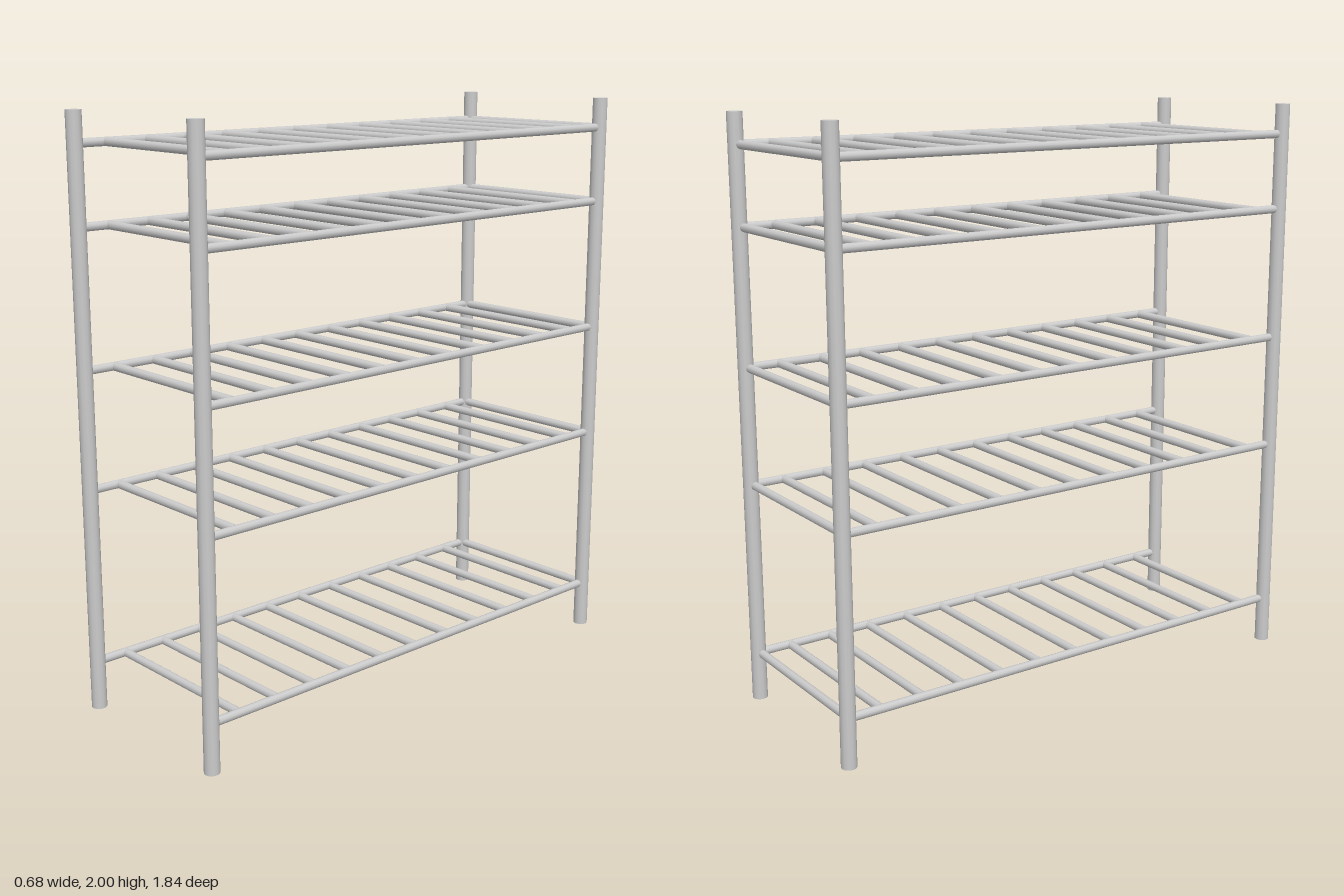
import * as THREE from 'three';

const POST_X = 0.316, POST_Z = 0.893, POST_R = 0.026, BAR_R = 0.0145;
const SHELF_HEIGHTS = [0.165, 0.768, 1.17, 1.633, 1.896];

export function createModel() {
  const rack = new THREE.Group();
  rack.name = 'shelfRack';
  const material = new THREE.MeshStandardMaterial({ color: 0xcccccc });

  const postGeometry = new THREE.CylinderGeometry(POST_R, POST_R, 2, 12);
  const railGeometry = new THREE.CylinderGeometry(BAR_R, BAR_R, 2 * POST_Z, 10).rotateX(Math.PI / 2);
  const slatGeometry = new THREE.CylinderGeometry(BAR_R, BAR_R, 2 * POST_X - 0.01, 10).rotateZ(Math.PI / 2);

  const add = (parent, name, geometry, x, y, z) => {
    const mesh = new THREE.Mesh(geometry, material);
    mesh.name = name;
    mesh.position.set(x, y, z);
    parent.add(mesh);
  };

  // Four corner posts
  for (const x of [-POST_X, POST_X]) {
    for (const z of [-POST_Z, POST_Z]) add(rack, 'cornerPost', postGeometry, x, 1, z);
  }

  // Slatted shelves: two long rails, a bar between the back posts and evenly spaced slats
  SHELF_HEIGHTS.forEach((y, level) => {
    const shelf = new THREE.Group();
    shelf.name = `shelf${level + 1}`;
    shelf.position.y = y;
    for (const x of [-POST_X, POST_X]) add(shelf, 'sideRail', railGeometry, x, 0, 0);
    add(shelf, 'backBar', slatGeometry, 0, 0, -0.888);
    for (let i = 0; i < 11; i++) add(shelf, 'slat', slatGeometry, 0, 0, -0.772 + i * 0.1553);
    rack.add(shelf);
  });

  return rack;
}
